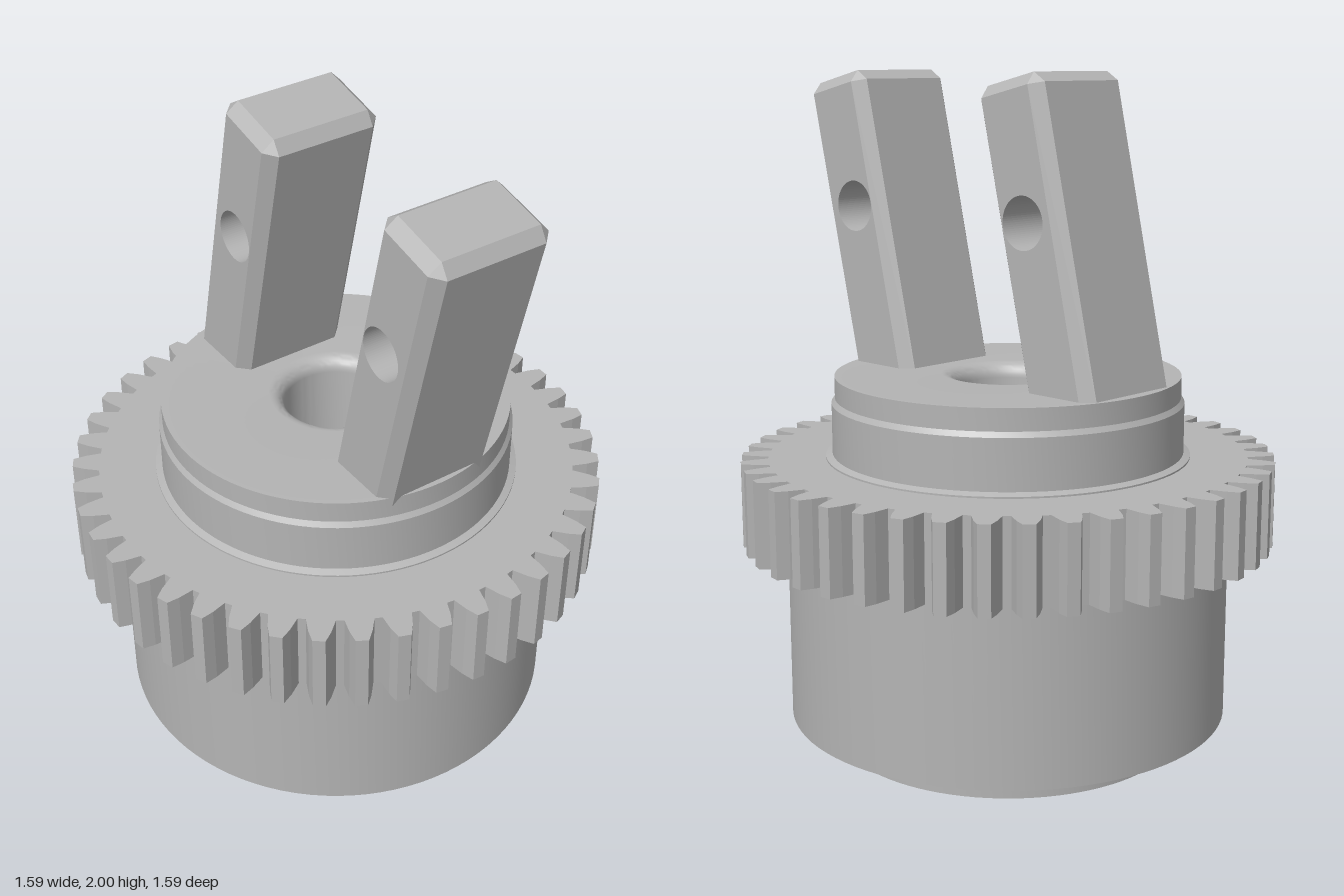
import * as THREE from 'three';
import { mergeGeometries, toCreasedNormals } from 'three/addons/utils/BufferGeometryUtils.js';

const steel = new THREE.MeshStandardMaterial({ color: 0xb4b4b4 });
steel.name = 'steel grey';

const V = (x, y) => new THREE.Vector2(x, y);

// Turned hub: drum, bosses, stepped bore with a rounded top rim
function hubGeometry() {
  const profile = [
    V(0.27, 0), V(0.525, 0), V(0.525, 0.075), V(0.545, 0.08), V(0.545, 0.087),
    V(0.663, 0.087), V(0.663, 0.75), V(0.545, 0.75), V(0.545, 0.882),
    V(0.525, 0.89), V(0.525, 1.04), V(0.515, 1.055), V(0.515, 1.12),
  ];
  const f = 0.045; // rim fillet
  for (let i = 0; i <= 8; i++) {
    const a = (i / 8) * Math.PI / 2;
    profile.push(V(0.153 + f - f * Math.sin(a), 1.12 - f + f * Math.cos(a)));
  }
  profile.push(V(0.153, 0.18), V(0.27, 0.18), V(0.27, 0));
  return toCreasedNormals(new THREE.LatheGeometry(profile, 96), 0.4);
}

// Spur gear ring with tapered, slightly bulging teeth
function gearGeometry() {
  const teeth = 43;
  const flank = [[0.715, 0.041], [0.76, 0.031], [0.795, 0.018]]; // radius, half width
  const points = [];
  for (let i = 0; i < teeth; i++) {
    const mid = Math.PI / 2 + (i / teeth) * Math.PI * 2;
    const add = (r, w) => points.push(V(r * Math.cos(mid + w / r), r * Math.sin(mid + w / r)));
    flank.forEach(([r, w]) => add(r, -w));
    [...flank].reverse().forEach(([r, w]) => add(r, w));
  }
  const shape = new THREE.Shape(points);
  shape.holes.push(new THREE.Path().absarc(0, 0, 0.5, 0, Math.PI * 2, true));
  const geo = new THREE.ExtrudeGeometry(shape, { depth: 0.252, bevelEnabled: false, curveSegments: 32 });
  return geo.rotateX(-Math.PI / 2).translate(0, 0.625, 0);
}

// Chamfered bar with a cross hole; u runs across, v along the bar
function prongGeometry(holeU) {
  const h = 0.124, c = 0.034, top = 0.883, base = -0.05, w = 0.185, i = h - c;
  const outer = [V(-h, base), V(h, base), V(h, top - c), V(i, top), V(-i, top), V(-h, top - c)];
  const inner = [V(-i, base), V(i, base), V(i, top - c), V(i, top - c), V(-i, top - c), V(-i, top - c)];

  // Side faces and hole wall
  const core = new THREE.Shape([inner[0], inner[1], inner[2], inner[4]]);
  core.holes.push(new THREE.Path().absarc(holeU, 0.487, 0.076, 0, Math.PI * 2, true));
  const coreGeo = new THREE.ExtrudeGeometry(core, { depth: 2 * w, bevelEnabled: false, curveSegments: 40 });
  coreGeo.translate(0, 0, -w).deleteAttribute('uv');

  // Chamfered shell joining the side faces
  const rings = [[inner, -w], [outer, c - w], [outer, w - c], [inner, w]];
  const pos = [];
  for (let r = 0; r < 3; r++) {
    const [p, z0] = rings[r], [q, z1] = rings[r + 1];
    for (let k = 0; k < 6; k++) {
      const n = (k + 1) % 6;
      const A = [p[k].x, p[k].y, z0], B = [p[n].x, p[n].y, z0];
      const C = [q[n].x, q[n].y, z1], D = [q[k].x, q[k].y, z1];
      pos.push(...A, ...B, ...C, ...A, ...C, ...D);
    }
  }
  const shell = new THREE.BufferGeometry();
  shell.setAttribute('position', new THREE.Float32BufferAttribute(pos, 3));
  shell.computeVertexNormals();
  return mergeGeometries([coreGeo, shell]).rotateY(-Math.PI / 2);
}

export function createModel() {
  const model = new THREE.Group();
  model.name = 'gearedHub';
  const add = (name, geometry) => {
    const mesh = new THREE.Mesh(geometry, steel);
    mesh.name = name;
    model.add(mesh);
    return mesh;
  };

  add('hub', hubGeometry());
  add('gearRing', gearGeometry());

  // Two parallel prongs leaning forward
  for (const [name, z, holeU] of [['frontProng', 0.372, -0.012], ['backProng', -0.355, 0.011]]) {
    const prong = add(name, prongGeometry(holeU));
    prong.rotation.x = THREE.MathUtils.degToRad(13);
    prong.position.set(0, 1.12, z);
  }
  return model;
}
